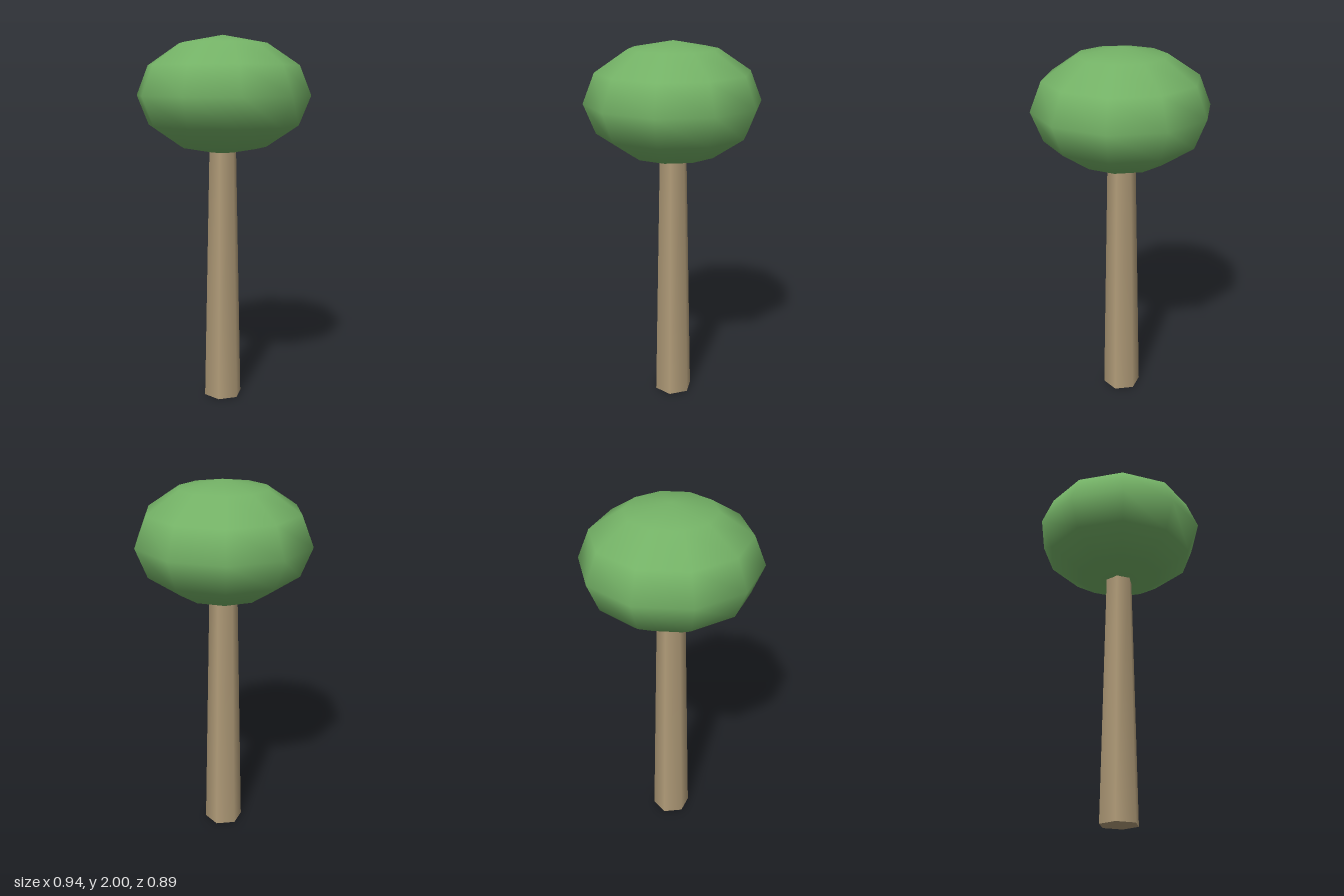
import * as THREE from 'three';

export function createModel() {
  const tree = new THREE.Group();
  tree.name = 'tree';

  const addPart = (name, geometry, color) => {
    const mesh = new THREE.Mesh(geometry, new THREE.MeshStandardMaterial({ color }));
    mesh.name = name;
    tree.add(mesh);
    return mesh;
  };

  // Tapered six-sided trunk, corners on the x axis, its top buried in the canopy
  const trunkHeight = 1.42;
  const trunk = addPart(
    'trunk',
    new THREE.CylinderGeometry(0.075, 0.106, trunkHeight, 6, 1, false, Math.PI / 6),
    0xb09b78
  );
  trunk.position.y = trunkHeight / 2;

  // Flattened ten-sided canopy with smooth normals
  const canopyGeometry = new THREE.SphereGeometry(0.47, 10, 6).scale(1, 0.67, 1);
  const canopy = addPart('canopy', canopyGeometry, 0x74b266);
  canopy.position.y = 2 - 0.47 * 0.67;

  return tree;
}
